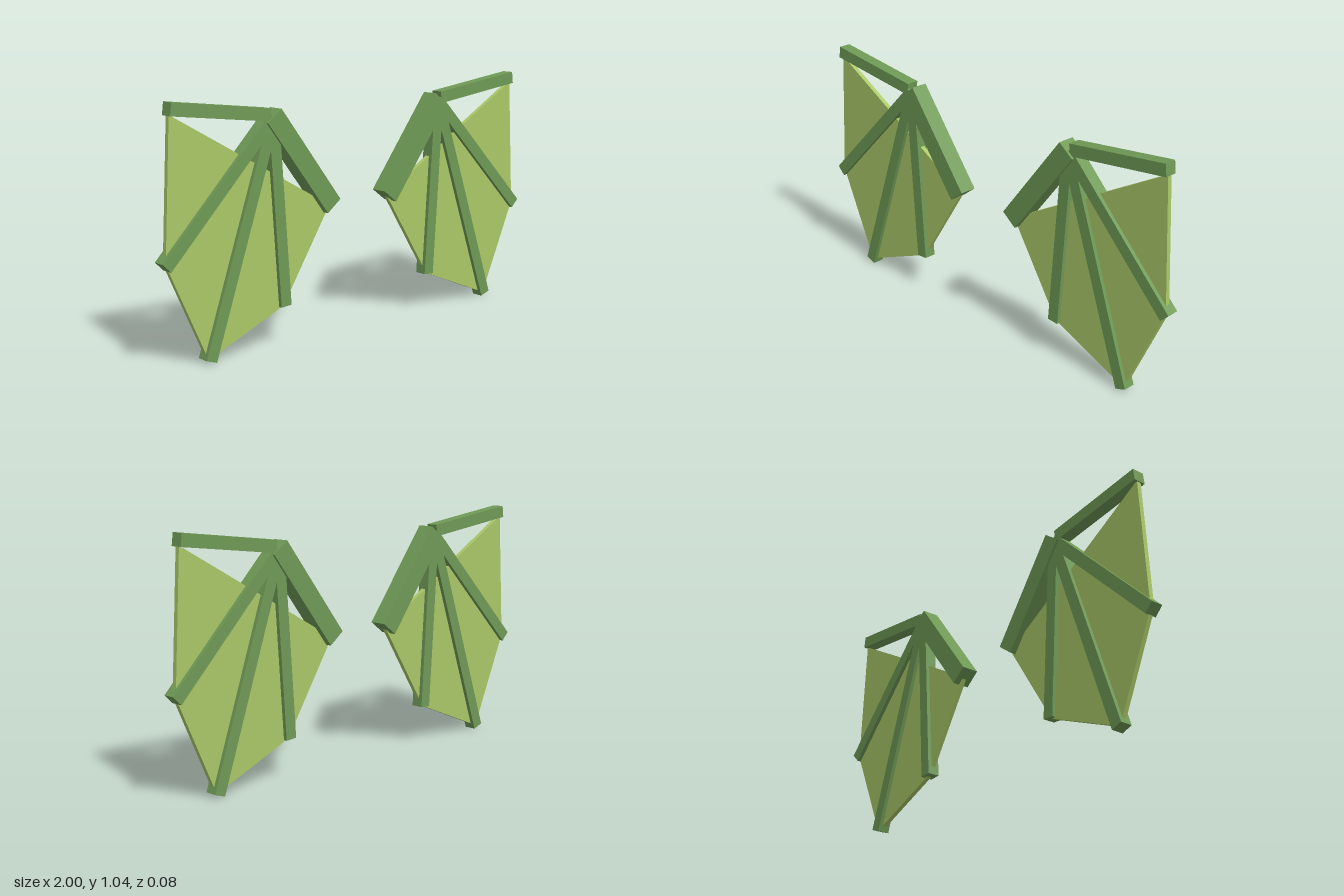
import * as THREE from 'three';

const boneGreen = new THREE.MeshStandardMaterial({ name: 'boneGreen', color: 0x6f9a56 });
const membraneGreen = new THREE.MeshStandardMaterial({ name: 'membraneGreen', color: 0xaac868 });

// Square-ended beam between two points in the z = 0 plane
function bone(name, [x1, y1], [x2, y2], width, depth) {
  const length = Math.hypot(x2 - x1, y2 - y1);
  const mesh = new THREE.Mesh(new THREE.BoxGeometry(length, width, depth), boneGreen);
  mesh.position.set((x1 + x2) / 2, (y1 + y2) / 2, 0);
  mesh.rotation.z = Math.atan2(y2 - y1, x2 - x1);
  mesh.name = name;
  return mesh;
}

// One wing; side is +1 for left, -1 for right
function createWing(side) {
  const wing = new THREE.Group();
  wing.name = side > 0 ? 'leftWing' : 'rightWing';
  const at = (x, y) => [side * x, y];

  // Thick arm from the shoulder up to the wrist
  wing.add(bone('arm', at(0.16, 0.558), at(0.466, 0.959), 0.086, 0.076));

  // Fingers fanning out from the wrist
  wing.add(bone('topFinger', at(0.476, 0.963), at(0.945, 1.022), 0.052, 0.054));
  const tips = [at(0.981, 0.422), at(0.786, 0.014), at(0.409, 0.171)];
  tips.forEach((tip, i) => {
    wing.add(bone(`finger${i + 1}`, at(0.462, 0.95), tip, 0.052, 0.054));
  });

  // Skin stretched between the finger tips and the shoulder
  const outline = [at(0.943, 1.0), at(0.975, 0.43), at(0.788, 0.016), at(0.41, 0.172), at(0.163, 0.56)];
  const shape = new THREE.Shape(outline.map(([x, y]) => new THREE.Vector2(x, y)));
  const skin = new THREE.ExtrudeGeometry(shape, { depth: 0.02, bevelEnabled: false });
  skin.translate(0, 0, -0.01);
  const membrane = new THREE.Mesh(skin, membraneGreen);
  membrane.name = 'membrane';
  wing.add(membrane);
  return wing;
}

export function createModel() {
  const model = new THREE.Group();
  model.name = 'wings';
  model.add(createWing(1), createWing(-1));
  return model;
}
